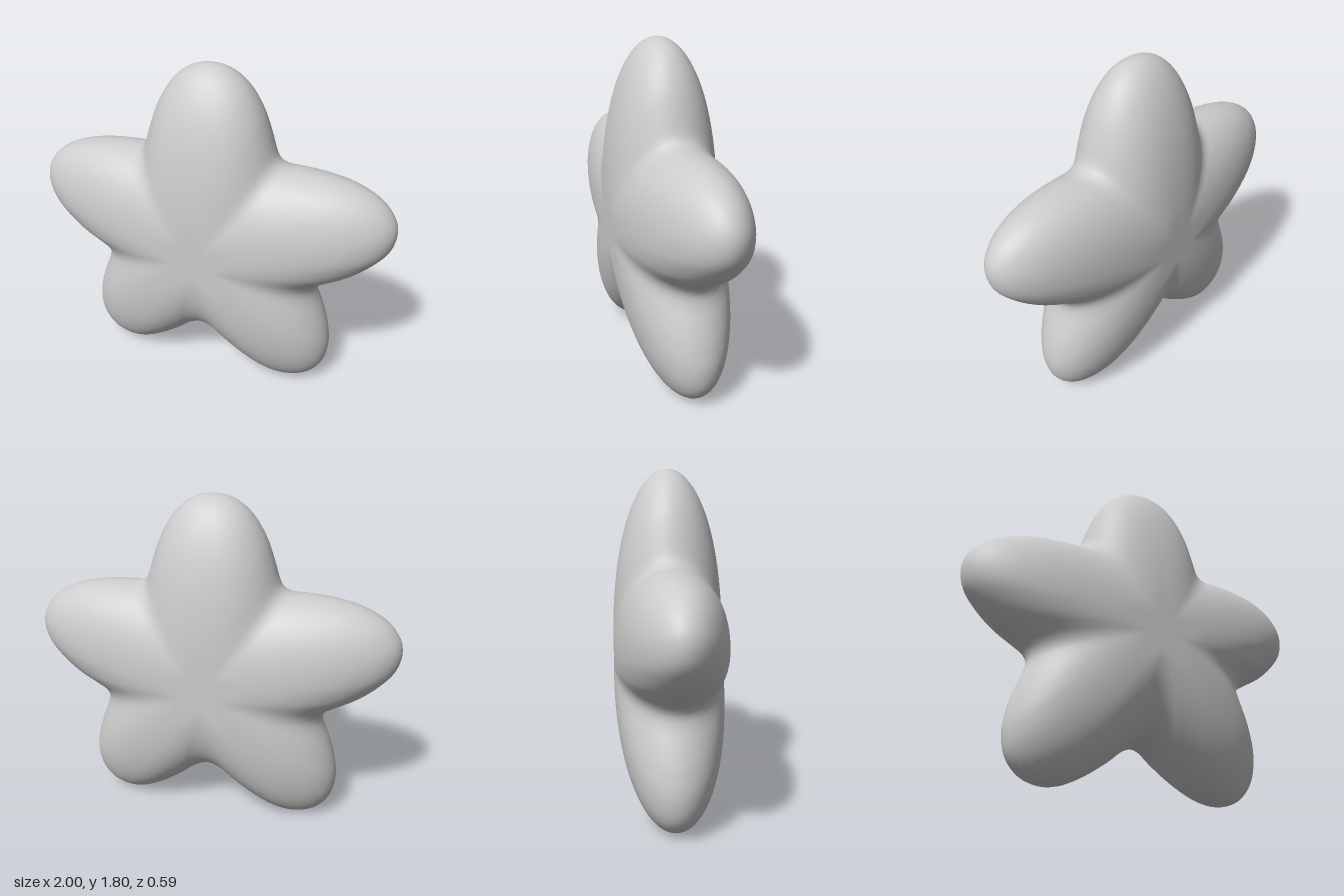
import * as THREE from 'three';

const CENTRE_Y = 0.8;
const DEPTH = 0.297;      // half depth of the dome
const FLAT = 0.293;       // the middle is levelled off here
const SEGMENTS = 240;
const RINGS = 64;

// Right half of the star outline, from the top tip down to the bottom notch
const HALF = [
  [0, 1.805], [0.1, 1.785], [0.19, 1.72], [0.27, 1.6], [0.32, 1.47], [0.345, 1.39],
  [0.367, 1.343], [0.41, 1.318], [0.5, 1.313], [0.65, 1.3], [0.8, 1.263], [0.92, 1.195],
  [0.985, 1.11], [1, 1.04], [0.98, 0.95], [0.92, 0.87], [0.83, 0.79], [0.72, 0.725],
  [0.65, 0.68], [0.62, 0.63], [0.63, 0.57], [0.665, 0.48], [0.7, 0.37], [0.717, 0.24],
  [0.69, 0.12], [0.62, 0.04], [0.52, 0.005], [0.42, 0.015], [0.3, 0.07], [0.18, 0.15],
  [0.08, 0.228], [0, 0.253],
];

function starOutline() {
  const mirrored = HALF.slice(1, -1).reverse().map(([x, y]) => [-x, y]);
  const points = [...HALF, ...mirrored].map(([x, y]) => new THREE.Vector3(x, y - CENTRE_Y, 0));
  return new THREE.CatmullRomCurve3(points, true, 'centripetal').getSpacedPoints(SEGMENTS).slice(0, SEGMENTS);
}

// Rings of the outline, growing from the front pole to the rim and shrinking to the back pole
function puffedStar() {
  const outline = starOutline();
  const positions = [];
  const index = [];
  for (let i = 0; i <= RINGS; i++) {
    const phi = (i / RINGS) * Math.PI;
    const pole = i === 0 || i === RINGS;
    const scale = pole ? 0 : Math.pow(Math.sin(phi), 1 / 1.2);
    const z = THREE.MathUtils.clamp(DEPTH * Math.cos(phi), -FLAT, FLAT);
    for (const p of outline) positions.push(p.x * scale, p.y * scale, z);
  }
  for (let i = 0; i < RINGS; i++) {
    for (let j = 0; j < SEGMENTS; j++) {
      const next = (j + 1) % SEGMENTS;
      const a = i * SEGMENTS + j;
      const b = i * SEGMENTS + next;
      const c = a + SEGMENTS;
      const d = b + SEGMENTS;
      if (i === 0) index.push(a, d, c);
      else if (i === RINGS - 1) index.push(a, b, c);
      else index.push(a, b, c, b, d, c);
    }
  }
  const geometry = new THREE.BufferGeometry();
  geometry.setAttribute('position', new THREE.Float32BufferAttribute(positions, 3));
  geometry.setIndex(index);
  geometry.computeVertexNormals();
  return geometry;
}

export function createModel() {
  const group = new THREE.Group();
  group.name = 'star';
  const grey = new THREE.MeshStandardMaterial({ color: 0xcccccc });
  grey.name = 'light grey';

  const body = new THREE.Mesh(puffedStar(), grey);
  body.name = 'starBody';
  body.position.y = CENTRE_Y;
  group.add(body);
  return group;
}
